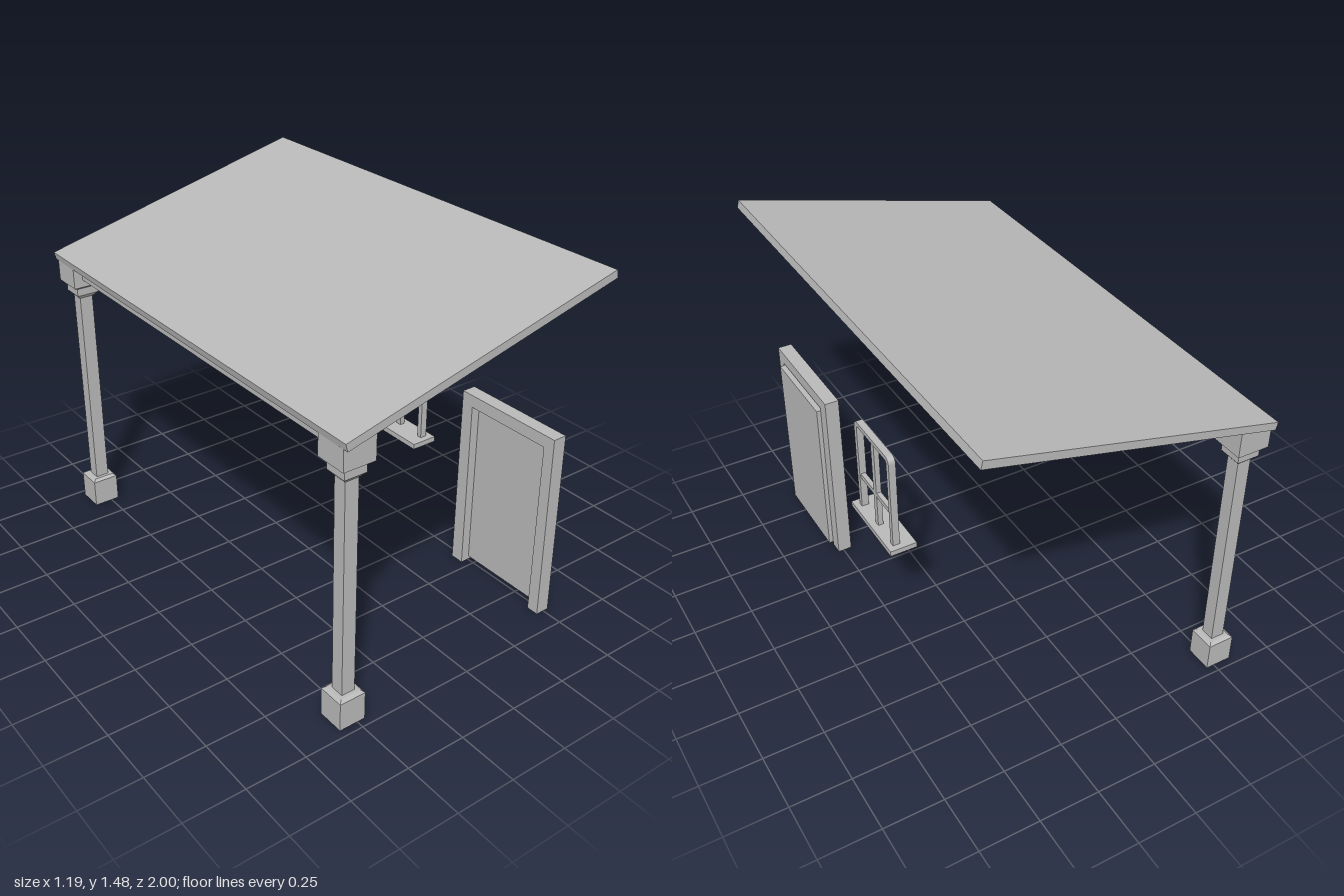
import * as THREE from 'three';

const grey = new THREE.MeshStandardMaterial({ color: 0xb8b8b8, flatShading: true });
grey.name = 'plain grey';

function add(parent, name, geometry) {
  const mesh = new THREE.Mesh(geometry, grey);
  mesh.name = name;
  parent.add(mesh);
  return mesh;
}

// Box given by its minimum and maximum on each axis
function block(parent, name, [x0, x1], [y0, y1], [z0, z1]) {
  const mesh = add(parent, name, new THREE.BoxGeometry(x1 - x0, y1 - y0, z1 - z0));
  mesh.position.set((x0 + x1) / 2, (y0 + y1) / 2, (z0 + z1) / 2);
  return mesh;
}

// Square frustum with different widths at bottom and top
function taper(parent, name, y0, y1, w0, w1) {
  const geometry = new THREE.CylinderGeometry(w1 * Math.SQRT1_2, w0 * Math.SQRT1_2, y1 - y0, 4);
  geometry.rotateY(Math.PI / 4);
  add(parent, name, geometry).position.y = (y0 + y1) / 2;
}

function extrudeZ(points, z0, z1) {
  const shape = new THREE.Shape(points.map(([x, y]) => new THREE.Vector2(x, y)));
  return new THREE.ExtrudeGeometry(shape, { depth: z1 - z0, bevelEnabled: false }).translate(0, 0, z0);
}

function makeColumn(z) {
  const column = new THREE.Group();
  column.name = 'column';
  taper(column, 'columnBase', 0, 0.118, 0.112, 0.112);
  taper(column, 'baseBevel', 0.118, 0.128, 0.112, 0.086);
  taper(column, 'shaft', 0.128, 1.013, 0.057, 0.057);
  taper(column, 'neckFlare', 1.013, 1.031, 0.062, 0.094);
  taper(column, 'neckBlock', 1.031, 1.063, 0.094, 0.094);
  taper(column, 'capitalFlare', 1.063, 1.076, 0.094, 0.134);
  // Capital top follows the slope of the roof
  add(column, 'capital', extrudeZ(
    [[-0.067, 1.076], [0.067, 1.076], [0.067, 1.196], [-0.067, 1.163]], -0.067, 0.067));
  column.position.set(-0.522, 0, z);
  return column;
}

function makeDoor() {
  const door = new THREE.Group();
  door.name = 'door';
  // One-piece surround: two jambs and a lintel, drawn in the z-y plane
  const outline = [[-0.91, 0], [-0.858, 0], [-0.858, 0.75], [-0.466, 0.75],
    [-0.466, 0], [-0.407, 0], [-0.41, 0.802], [-0.907, 0.802]];
  add(door, 'doorFrame', extrudeZ(outline, 0.464, 0.524).rotateY(Math.PI / 2));
  block(door, 'doorPanel', [0.503, 0.542], [0.015, 0.738], [0.466, 0.858]);
  return door;
}

// Rectangle with rounded upper corners
function archedRect(path, x0, x1, y0, y1, r) {
  path.moveTo(x0, y0);
  path.lineTo(x1, y0);
  path.lineTo(x1, y1 - r);
  path.absarc(x1 - r, y1 - r, r, 0, Math.PI / 2, false);
  path.lineTo(x0 + r, y1);
  path.absarc(x0 + r, y1 - r, r, Math.PI / 2, Math.PI, false);
  path.closePath();
  return path;
}

function makeWindow() {
  const group = new THREE.Group();
  group.name = 'window';
  const outer = archedRect(new THREE.Shape(), -0.152, 0.152, 0.45, 0.888, 0.028);
  outer.holes.push(archedRect(new THREE.Path(), -0.13, 0.13, 0.459, 0.868, 0.012));
  const frame = new THREE.ExtrudeGeometry(outer, { depth: 0.03, bevelEnabled: false, curveSegments: 4 });
  add(group, 'windowFrame', frame.translate(0, 0, 0.481).rotateY(Math.PI / 2));
  block(group, 'mullion', [0.485, 0.507], [0.455, 0.872], [-0.013, 0.013]);
  block(group, 'crossbar', [0.486, 0.506], [0.605, 0.626], [-0.134, 0.134]);
  block(group, 'windowSill', [0.42, 0.536], [0.437, 0.46], [-0.18, 0.18]);
  return group;
}

export function createModel() {
  const model = new THREE.Group();
  model.name = 'porch';
  // Sloping roof slab
  add(model, 'roof', extrudeZ(
    [[-0.589, 1.163], [0.596, 1.452], [0.588, 1.484], [-0.597, 1.194]], -1, 1));
  for (const z of [0.912, -0.912]) model.add(makeColumn(z));
  block(model, 'beam', [-0.55, -0.505], [1.108, 1.174], [-0.85, 0.85]);
  model.add(makeDoor(), makeWindow());
  return model;
}
